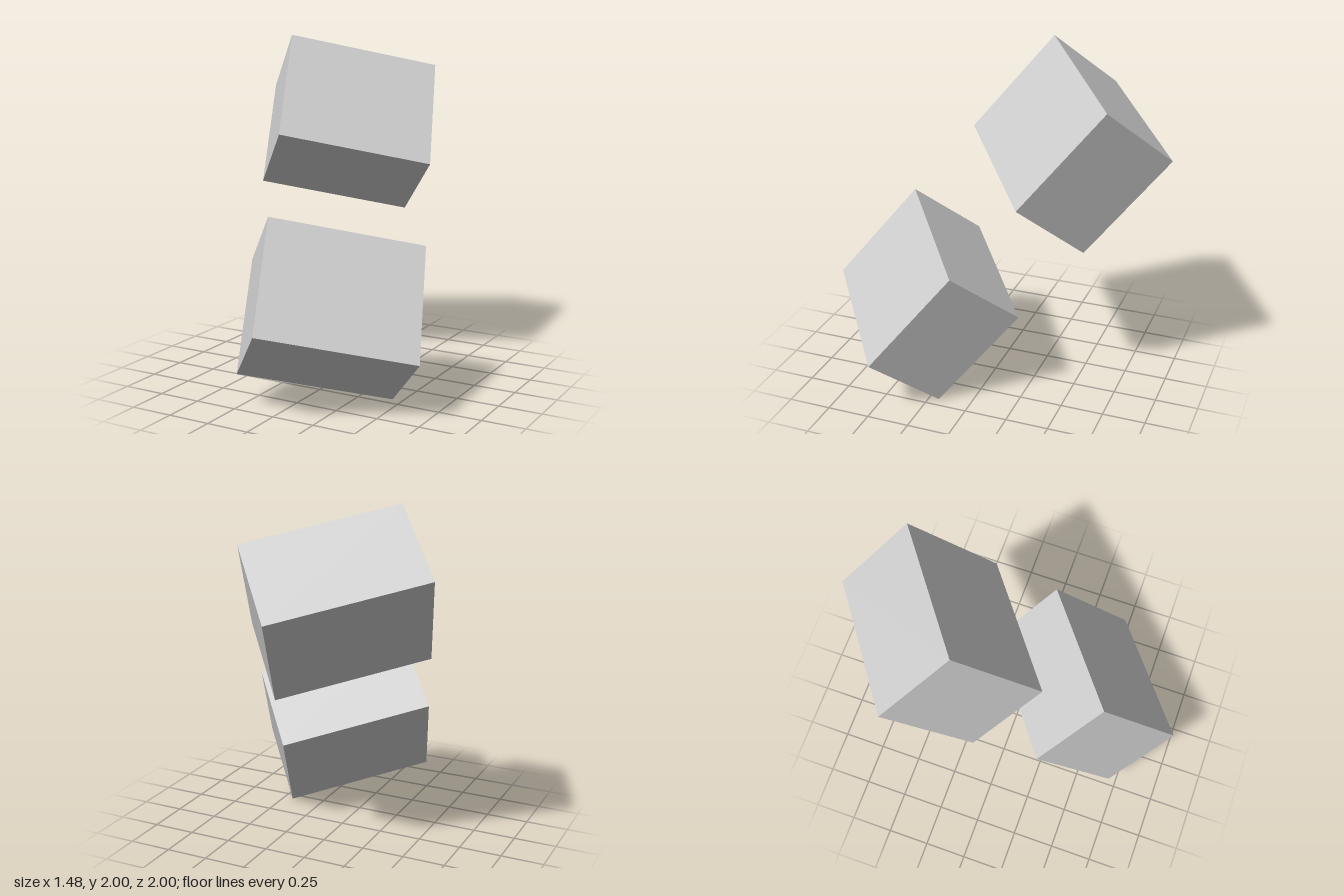
import * as THREE from 'three';

export function createModel() {
  const group = new THREE.Group();
  group.name = 'tiltedBlocks';

  const lightGrey = new THREE.MeshStandardMaterial({ color: 0xcccccc });
  lightGrey.name = 'lightGrey';

  // Both blocks share one 5 : 4 : 3 shape and one tilt
  const unit = 0.178;
  const block = new THREE.BoxGeometry(5 * unit, 4 * unit, 3 * unit);
  const xAxis = new THREE.Vector3(0.70, -0.185, -0.515).normalize();
  const zAxis = new THREE.Vector3(-0.30, -0.33, -0.295).cross(xAxis).cross(xAxis).negate().normalize();
  const yAxis = new THREE.Vector3().crossVectors(zAxis, xAxis);
  const tilt = new THREE.Matrix4().makeBasis(xAxis, yAxis, zAxis);

  const addBlock = (name, x, y, z) => {
    const mesh = new THREE.Mesh(block, lightGrey);
    mesh.name = name;
    mesh.quaternion.setFromRotationMatrix(tilt);
    mesh.position.set(x, y, z);
    group.add(mesh);
  };

  addBlock('upperBlock', -0.154, 1.472, -0.38);
  addBlock('lowerBlock', 0.154, 0.528, 0.38);

  return group;
}
